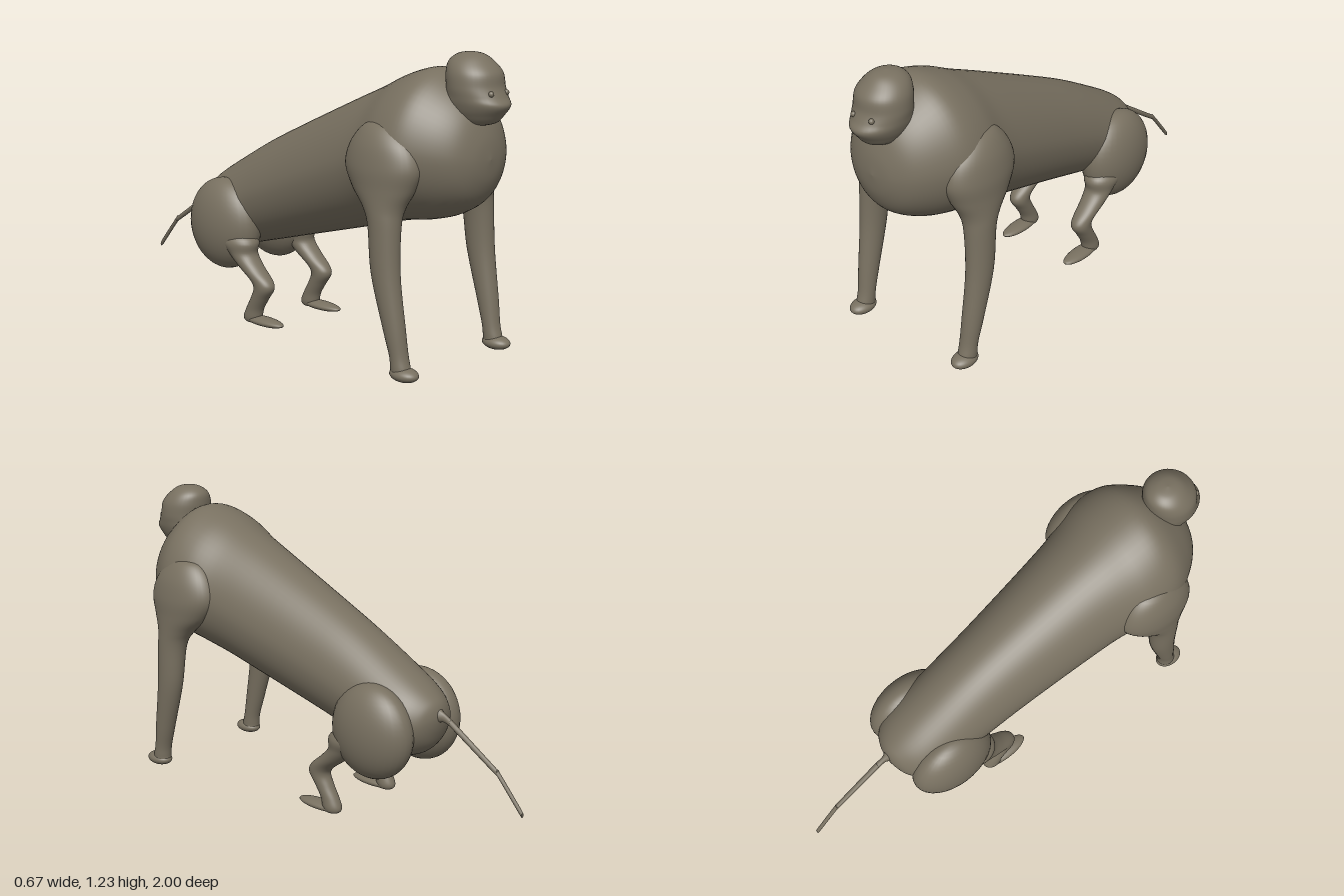
import * as THREE from 'three';

const fur = new THREE.MeshStandardMaterial({ color: 0x787060 });
fur.name = 'brown fur';

// Smooth skin through stations [x, y, z, rx, r2]. Rings lie flat (axis 'y',
// stations running down) or upright (axis 'z', stations running backwards).
function loft(stations, axis, pinch = 0, sides = 40, steps = 6) {
  const pos = [], index = [], n = stations.length;
  const rows = (n - 1) * steps;
  for (let i = 0; i <= rows; i++) {
    const k = Math.min(Math.floor(i / steps), n - 2), t = i / steps - k;
    const at = (j) => stations[Math.max(0, Math.min(n - 1, j))];
    const [x, y, z, rx, r2] = [0, 1, 2, 3, 4].map((c) => {
      const a = at(k - 1)[c], b = at(k)[c], d = at(k + 1)[c], e = at(k + 2)[c];
      return b + 0.5 * t * (d - a + t * (2 * a - 5 * b + 4 * d - e + t * (3 * (b - d) + e - a)));
    });
    for (let j = 0; j < sides; j++) {
      const a = (j / sides) * Math.PI * 2, c = Math.cos(a), s = Math.sin(a);
      if (axis === 'y') pos.push(x + rx * c, y, z + r2 * s);
      else pos.push(x + rx * s * (1 - pinch * Math.max(0, c)), y + r2 * c, z);
      if (i < rows) {
        const p = i * sides + j, q = i * sides + ((j + 1) % sides);
        index.push(p, q, p + sides, q, q + sides, p + sides);
      }
    }
  }
  const geo = new THREE.BufferGeometry();
  geo.setAttribute('position', new THREE.Float32BufferAttribute(pos, 3));
  geo.setIndex(index);
  geo.computeVertexNormals();
  return geo;
}

function ellipsoid(center, radii) {
  return new THREE.SphereGeometry(1, 32, 24).scale(...radii).translate(...center);
}

export function createModel() {
  const model = new THREE.Group();
  const add = (name, geo, parent = model) => {
    const mesh = new THREE.Mesh(geo, fur);
    mesh.name = name;
    parent.add(mesh);
  };

  // Torso: z, underside, back line, half width
  const torso = [
    [0.935, 0.83, 0.83, 0], [0.922, 0.74, 0.92, 0.085], [0.88, 0.66, 1.02, 0.165],
    [0.8, 0.605, 1.1, 0.235], [0.7, 0.572, 1.155, 0.285], [0.58, 0.55, 1.13, 0.29],
    [0.45, 0.515, 1.07, 0.257], [0.3, 0.472, 1.005, 0.236], [0, 0.39, 0.87, 0.206],
    [-0.2, 0.335, 0.775, 0.192], [-0.4, 0.285, 0.665, 0.182], [-0.5, 0.3, 0.605, 0.16],
    [-0.56, 0.345, 0.56, 0.115], [-0.59, 0.41, 0.525, 0.06], [-0.603, 0.475, 0.475, 0],
  ].map(([z, low, high, w]) => [0, (low + high) / 2, z, w, (high - low) / 2]);
  add('torso', loft(torso, 'z', 0.08, 56));

  // Head with muzzle, from crown to chin
  add('head', loft([
    [0, 1.225, 0.83, 0, 0], [0, 1.216, 0.83, 0.045, 0.05], [0, 1.19, 0.833, 0.082, 0.085],
    [0, 1.15, 0.848, 0.106, 0.106], [0, 1.1, 0.855, 0.112, 0.109], [0, 1.065, 0.86, 0.109, 0.121],
    [0, 1.035, 0.86, 0.103, 0.14], [0, 1, 0.86, 0.089, 0.117], [0, 0.965, 0.86, 0.062, 0.08],
    [0, 0.948, 0.855, 0, 0],
  ], 'y'));

  // Thin tail bending downwards
  add('tail', loft([
    [0, 0.48, -0.58, 0.04, 0.04], [0, 0.48, -0.61, 0.014, 0.02], [0, 0.464, -0.65, 0.012, 0.014],
    [0, 0.451, -0.67, 0.012, 0.014], [0, 0.325, -0.865, 0.01, 0.012], [0, 0.311, -0.885, 0.009, 0.012],
    [0, 0.19, -0.99, 0.008, 0.012], [0, 0.178, -1, 0.006, 0.008], [0, 0.178, -1, 0, 0],
  ], 'z', 0, 12));

  // Limbs and eyes, once for each side
  for (const [side, s] of [['left', 1], ['right', -1]]) {
    const mirror = (list) => list.map(([x, ...rest]) => [s * x, ...rest]);

    const front = new THREE.Group();
    front.name = `${side} front limb`;
    add('shoulder and front leg', loft(mirror([
      [0.215, 0.97, 0.6, 0, 0], [0.22, 0.95, 0.6, 0.055, 0.08], [0.228, 0.885, 0.61, 0.088, 0.148],
      [0.235, 0.8, 0.615, 0.1, 0.175], [0.246, 0.72, 0.625, 0.09, 0.142], [0.264, 0.65, 0.645, 0.072, 0.09],
      [0.278, 0.58, 0.66, 0.058, 0.068], [0.285, 0.4, 0.675, 0.05, 0.06], [0.283, 0.2, 0.718, 0.042, 0.045],
      [0.28, 0.1, 0.74, 0.037, 0.037], [0.28, 0.05, 0.75, 0.037, 0.04], [0.28, 0.015, 0.755, 0.034, 0.042],
      [0.28, 0.004, 0.755, 0, 0],
    ]), 'y'), front);
    add('front foot', ellipsoid([s * 0.28, 0.028, 0.768], [0.045, 0.028, 0.063]), front);
    model.add(front);

    const hind = new THREE.Group();
    hind.name = `${side} hind limb`;
    add('haunch', ellipsoid([s * 0.15, 0.405, -0.375], [0.11, 0.198, 0.193]), hind);
    add('hind leg', loft(mirror([
      [0.165, 0.43, -0.29, 0, 0], [0.165, 0.36, -0.275, 0.07, 0.095], [0.17, 0.3, -0.24, 0.06, 0.065],
      [0.172, 0.25, -0.19, 0.051, 0.059], [0.172, 0.2, -0.128, 0.043, 0.054], [0.172, 0.165, -0.112, 0.04, 0.049],
      [0.172, 0.12, -0.136, 0.037, 0.042], [0.172, 0.07, -0.166, 0.035, 0.041], [0.172, 0.03, -0.18, 0.036, 0.044],
      [0.172, 0.01, -0.18, 0.026, 0.034], [0.172, 0.005, -0.18, 0, 0],
    ]), 'y'), hind);
    add('hind foot', ellipsoid([s * 0.172, 0.022, -0.112], [0.039, 0.019, 0.112]), hind);
    model.add(hind);

    add(`${side} eye`, ellipsoid([s * 0.045, 1.08, 0.962], [0.011, 0.011, 0.011]));
  }
  return model;
}
